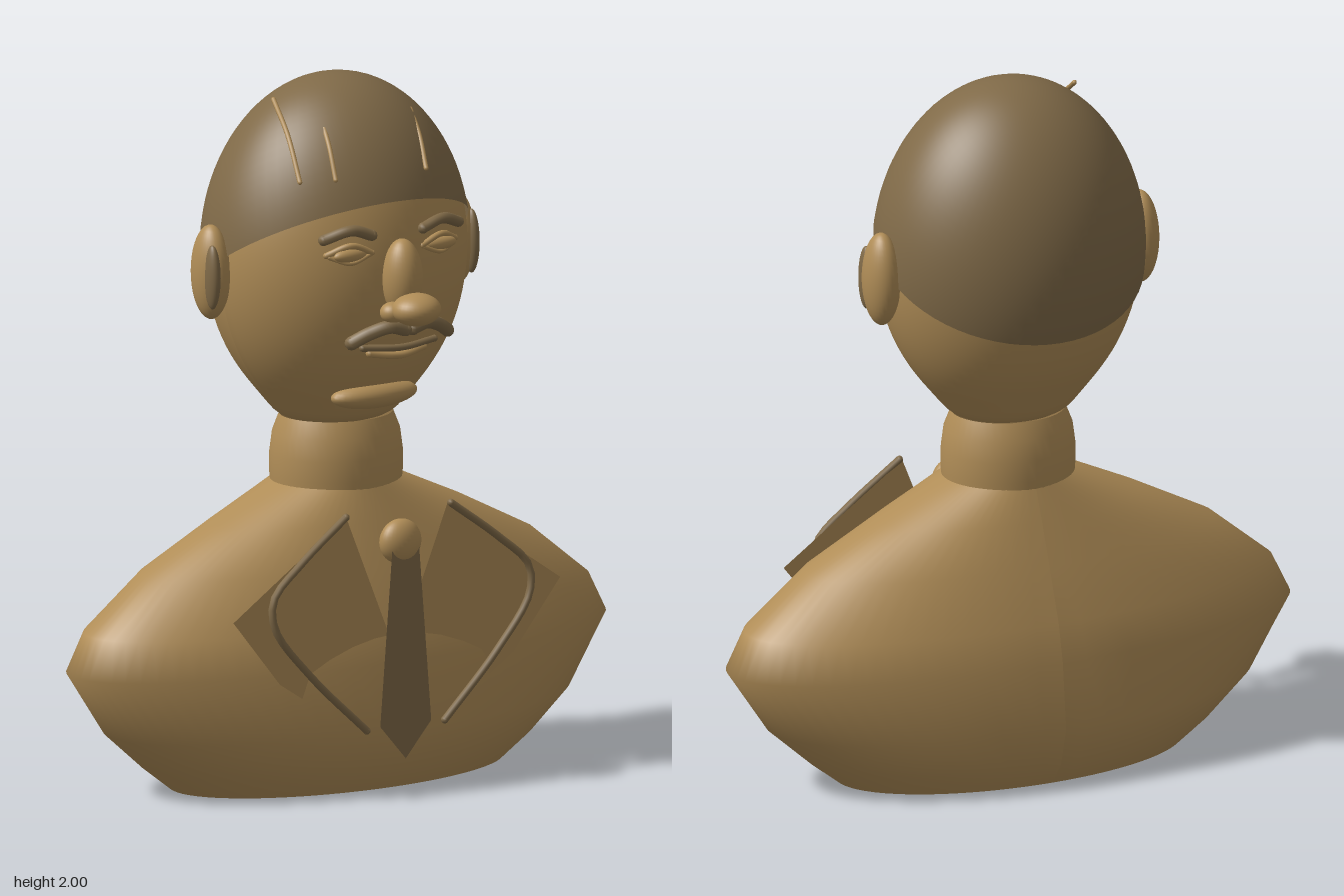
import * as THREE from 'three';

const mat = (name, color, side = THREE.FrontSide) => {
  const m = new THREE.MeshStandardMaterial({ color, side });
  m.name = name;
  return m;
};
const V = (p) => new THREE.Vector3(...p);

export function createModel() {
  const bronze = mat('bronze', 0xb08d57, THREE.DoubleSide);
  const dark = mat('darkBronze', 0x806a48, THREE.DoubleSide);
  const g = new THREE.Group();
  g.name = 'bust';

  const add = (name, geo, m) => {
    const mesh = new THREE.Mesh(geo, m);
    mesh.name = name;
    g.add(mesh);
    return mesh;
  };
  const ball = (name, m, c, r) =>
    add(name, new THREE.SphereGeometry(1, 32, 20).scale(...r).translate(...c), m);
  const tube = (name, m, pts, r) => {
    const curve = new THREE.CatmullRomCurve3(pts.map(V));
    add(name, new THREE.TubeGeometry(curve, 24, r, 8), m);
    // rounded tube ends
    for (const p of [pts[0], pts[pts.length - 1]])
      add(name + 'End', new THREE.SphereGeometry(r, 8, 6).translate(...p), m);
  };
  const plate = (name, m, pts, z) => {
    const shape = new THREE.Shape(pts.map(([x, y]) => new THREE.Vector2(x, y)));
    add(name, new THREE.ShapeGeometry(shape).translate(0, 0, z), m);
  };
  const mirror = (s, pts) => pts.map(([x, ...rest]) => [x * s, ...rest]);

  // Torso: elliptical sections [y, half width, half depth], open underneath
  const rows = [
    [0, 0.53, 0.27], [0.07, 0.62, 0.32], [0.18, 0.745, 0.35], [0.37, 0.875, 0.33],
    [0.48, 0.82, 0.305], [0.63, 0.635, 0.25], [0.75, 0.4, 0.205], [0.845, 0.19, 0.167],
  ];
  const torso = new THREE.LatheGeometry(
    rows.map(([y, rx]) => new THREE.Vector2(rx, y)), 72, Math.PI);
  const tp = torso.attributes.position;
  for (let i = 0; i < tp.count; i++) {
    const [, rx, rz] = rows[i % rows.length];
    tp.setZ(i, tp.getZ(i) * rz / rx - 0.06);
  }
  torso.computeVertexNormals();
  add('torso', torso, bronze);

  // Neck
  const neck = [[0.188, 0.8], [0.193, 0.86], [0.193, 0.92], [0.185, 0.98], [0.165, 1.03]]
    .map(([r, y]) => new THREE.Vector2(r, y));
  add('neck', new THREE.LatheGeometry(neck, 48).scale(1, 1, 0.89).translate(0, 0, -0.06), bronze);

  // Head: ellipsoid with a blunter underside
  const head = new THREE.SphereGeometry(1, 64, 48);
  const hp = head.attributes.position;
  for (let i = 0; i < hp.count; i++) {
    const y = hp.getY(i);
    const k = y < 0 ? 1 + 0.9 * Math.pow(y, 16) : 1;
    hp.setXYZ(i, hp.getX(i) * k, y, hp.getZ(i) * k);
  }
  head.scale(0.385, 0.49, 0.328).translate(0, 1.5, -0.062);
  head.computeVertexNormals();
  add('head', head, bronze);

  // Hair cap: tilted half ellipsoid
  add('hair', new THREE.SphereGeometry(1, 64, 24, 0, Math.PI * 2, 0, Math.PI / 2)
    .rotateX(-Math.atan(0.405)).scale(0.395, 0.5, 0.34).translate(0, 1.5, -0.065), dark);

  // Loose hair strands
  tube('hairStrand', bronze, [[-0.27, 1.76, 0.17], [-0.25, 1.87, 0.08], [-0.215, 1.95, -0.05]], 0.007);
  tube('hairStrand', bronze, [[-0.17, 1.76, 0.2], [-0.158, 1.84, 0.15], [-0.14, 1.9, 0.085]], 0.007);
  tube('hairStrand', bronze, [[0.125, 1.76, 0.21], [0.142, 1.84, 0.15], [0.16, 1.9, 0.075]], 0.007);

  // Nose, mouth and chin
  ball('noseBridge', bronze, [0, 1.475, 0.28], [0.057, 0.112, 0.06]);
  ball('noseTip', bronze, [0, 1.397, 0.352], [0.072, 0.046, 0.066]);
  tube('upperLip', dark, [[-0.12, 1.283, 0.26], [0, 1.276, 0.28], [0.12, 1.283, 0.26]], 0.01);
  tube('lowerLip', bronze, [[-0.09, 1.262, 0.25], [0, 1.252, 0.27], [0.09, 1.262, 0.25]], 0.011);
  ball('chin', bronze, [0, 1.115, 0.135], [0.14, 0.04, 0.055]);

  for (const s of [1, -1]) {
    ball('nostril', bronze, [s * 0.052, 1.387, 0.31], [0.036, 0.03, 0.035]);
    tube('moustache', dark, mirror(s, [[0.012, 1.335, 0.315], [0.06, 1.348, 0.315],
      [0.115, 1.33, 0.29], [0.16, 1.303, 0.265]]), 0.02);

    // Eyes and brows
    ball('eye', bronze, [s * 0.148, 1.55, 0.243], [0.055, 0.02, 0.02]);
    tube('upperLid', bronze, mirror(s, [[0.083, 1.552, 0.252], [0.15, 1.578, 0.25], [0.215, 1.552, 0.22]]), 0.009);
    tube('lowerLid', bronze, mirror(s, [[0.09, 1.547, 0.252], [0.15, 1.528, 0.25], [0.208, 1.547, 0.225]]), 0.007);
    tube('eyebrow', dark, mirror(s, [[0.085, 1.602, 0.255], [0.15, 1.622, 0.252], [0.225, 1.598, 0.222]]), 0.016);

    // Ears
    ball('ear', bronze, [s * 0.408, 1.475, -0.075], [0.052, 0.135, 0.066]);
    ball('innerEar', dark, [s * 0.432, 1.47, -0.03], [0.02, 0.092, 0.03]);

    // Lapel and its piping
    plate('lapel', bronze, mirror(s, [[0.17, 0.805], [0.545, 0.545], [0.39, 0.35],
      [0.09, 0.15], [0.03, 0.46]]), 0.252);
    tube('lapelPiping', dark, mirror(s, [[0.175, 0.805, 0.26], [0.33, 0.69, 0.268],
      [0.425, 0.6, 0.275], [0.425, 0.52, 0.28], [0.31, 0.37, 0.288], [0.13, 0.195, 0.298]]), 0.011);
  }

  // Tie
  plate('tie', dark, [[-0.045, 0.7], [-0.085, 0.2], [0, 0.1], [0.085, 0.2], [0.045, 0.7]], 0.298);
  ball('tieKnot', bronze, [0, 0.718, 0.27], [0.065, 0.064, 0.042]);

  return g;
}
